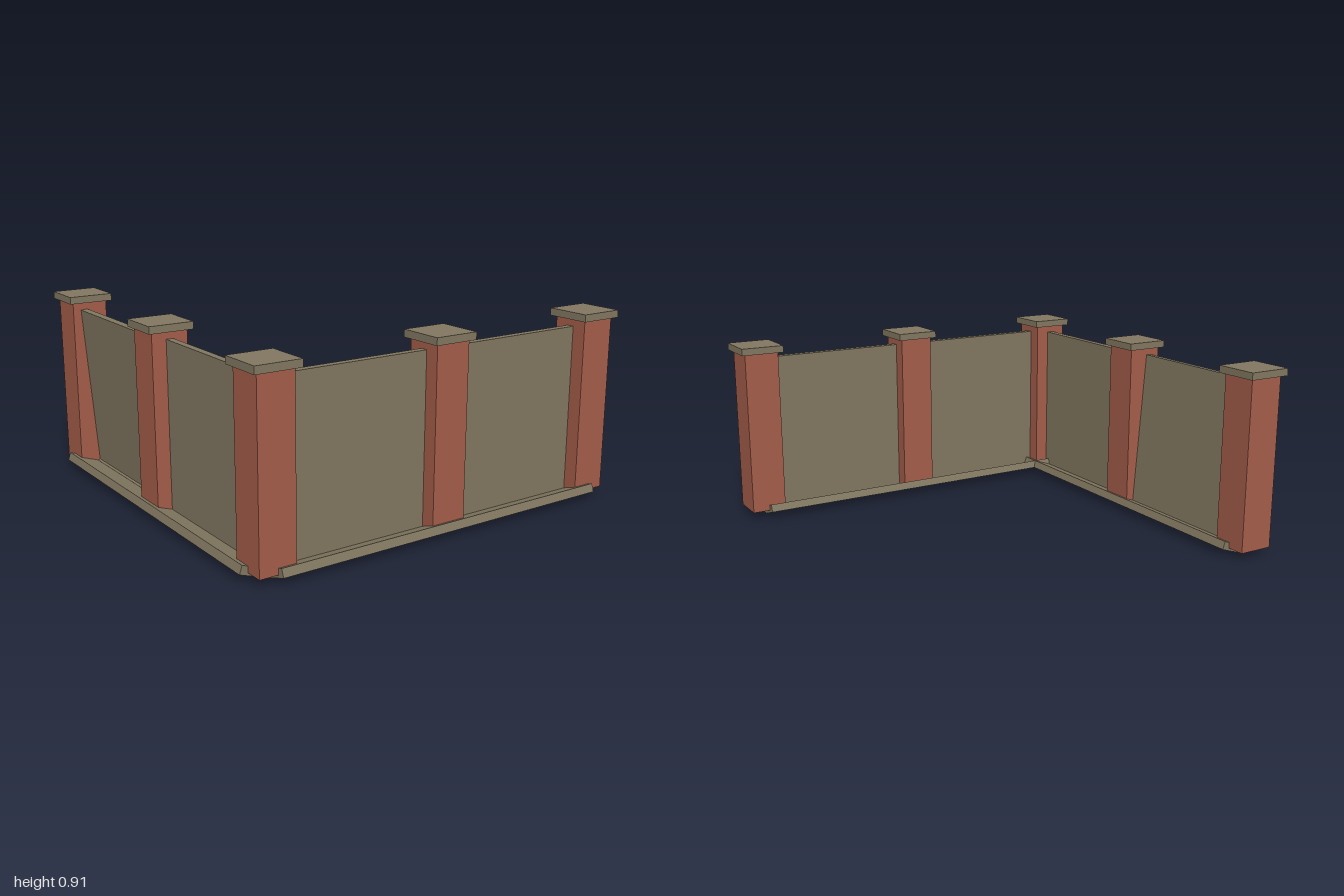
import * as THREE from 'three';

const NEAR = -0.87, MID = 0.01, FAR = 0.89; // post positions along each wall
const LENGTH = FAR - NEAR;

export function createModel() {
  const stone = new THREE.MeshStandardMaterial({ color: 0x80765f });
  stone.name = 'olive stone';
  const brick = new THREE.MeshStandardMaterial({ color: 0xa25c48 });
  brick.name = 'red brick';

  const model = new THREE.Group();
  model.name = 'cornerWall';

  const box = (parent, name, w, h, d, x, y, z, material) => {
    const mesh = new THREE.Mesh(new THREE.BoxGeometry(w, h, d), material);
    mesh.name = name;
    mesh.position.set(x, y, z);
    parent.add(mesh);
    return mesh;
  };

  // Brick posts with flat caps, sharing one at the corner
  const addPost = (name, x, z) => {
    const post = new THREE.Group();
    post.name = name;
    post.position.set(x, 0, z);
    box(post, 'postShaft', 0.175, 0.835, 0.175, 0, 0.4575, 0, brick);
    box(post, 'postCap', 0.218, 0.035, 0.218, 0, 0.8925, 0, stone);
    model.add(post);
  };
  addPost('cornerPost', NEAR, -NEAR);
  addPost('frontMiddlePost', MID, -NEAR);
  addPost('frontEndPost', FAR, -NEAR);
  addPost('sideMiddlePost', NEAR, -MID);
  addPost('sideEndPost', NEAR, -FAR);

  // A wall runs along local x from the corner: two panels over a shallow V of boards
  const addWall = (name, leanFar) => {
    const wall = new THREE.Group();
    wall.name = name;
    [[NEAR, MID, 0], [MID, FAR, leanFar]].forEach(([a, b, lean]) => {
      const panel = box(wall, 'panel', b - a, 0.8, 0.035, (a + b) / 2, 0.44, 0, stone);
      panel.rotation.x = lean;
    });
    [-1, 1].forEach((side) => {
      const board = box(wall, 'baseBoard', LENGTH, 0.04, 0.12,
        (NEAR + FAR) / 2, 0.04, side * 0.0635, stone);
      board.rotation.x = -side * 0.33;
    });
    model.add(wall);
    return wall;
  };

  const front = addWall('frontWall', 0);
  front.position.z = -NEAR;

  // The side wall's far panel leans outward at the top
  const sideWall = addWall('sideWall', -0.075);
  sideWall.rotation.y = Math.PI / 2;
  sideWall.position.x = NEAR;

  return model;
}
